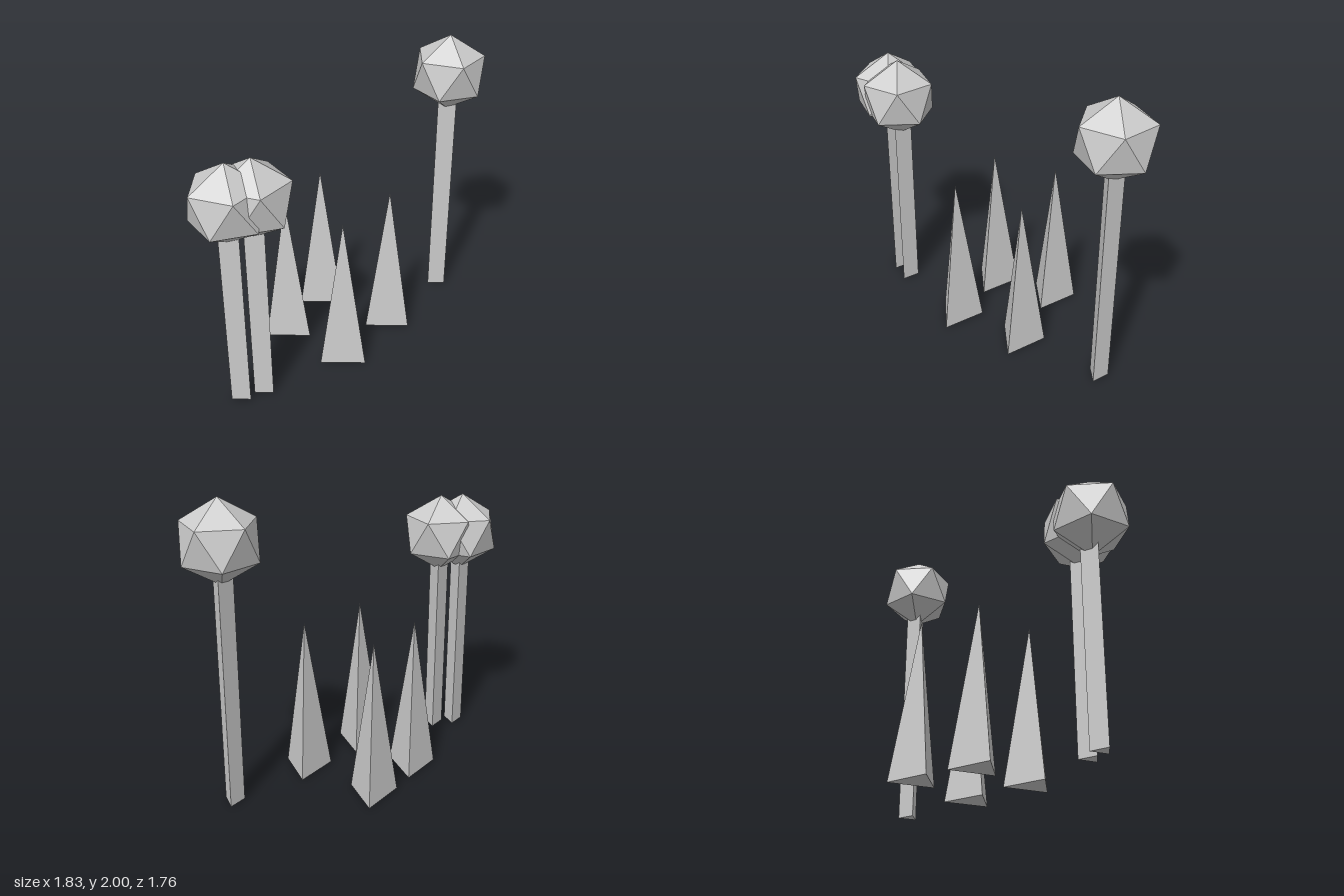
import * as THREE from 'three';
import { ConvexGeometry } from 'three/addons/geometries/ConvexGeometry.js';

const CROWN_RADIUS = 0.264;

// Icosahedron standing on one corner: two poles and two staggered rings of five
function crownGeometry(r) {
  const points = [new THREE.Vector3(0, r, 0), new THREE.Vector3(0, -r, 0)];
  const h = r / Math.sqrt(5), ring = 2 * h;
  for (let i = 0; i < 10; i++) {
    const a = (i * Math.PI) / 5;
    points.push(new THREE.Vector3(ring * Math.cos(a), i % 2 ? -h : h, ring * Math.sin(a)));
  }
  return new ConvexGeometry(points);
}

// Three-sided column or spike on the ground, flat side to the front
function threeSided(topRadius, radius, height) {
  return new THREE.CylinderGeometry(topRadius, radius, height, 3)
    .rotateY(Math.PI)
    .translate(0, height / 2, 0);
}

export function createModel() {
  const model = new THREE.Group();
  const material = new THREE.MeshStandardMaterial({ color: 0xcccccc, flatShading: true });

  const add = (parent, name, geometry, y = 0) => {
    const mesh = new THREE.Mesh(geometry, material);
    mesh.name = name;
    mesh.position.y = y;
    parent.add(mesh);
    return mesh;
  };

  // Round trees: x, z, total height
  const crown = crownGeometry(CROWN_RADIUS);
  [[-0.68, 0.653, 1.74], [-0.537, 0.589, 1.74], [0.676, -0.655, 2]].forEach(([x, z, top], i) => {
    const tree = new THREE.Group();
    tree.name = `roundTree${i + 1}`;
    tree.position.set(x, 0, z);
    const centre = top - CROWN_RADIUS;
    add(tree, 'trunk', threeSided(0.072, 0.072, centre));
    add(tree, 'crown', crown, centre);
    model.add(tree);
  });

  // Pointed trees: x, z
  const spike = threeSided(0, 0.176, 1.065);
  [[-0.197, -0.453], [-0.417, -0.055], [0.285, -0.177], [-0.024, 0.232]].forEach(([x, z], i) => {
    add(model, `pointedTree${i + 1}`, spike).position.set(x, 0, z);
  });

  return model;
}
